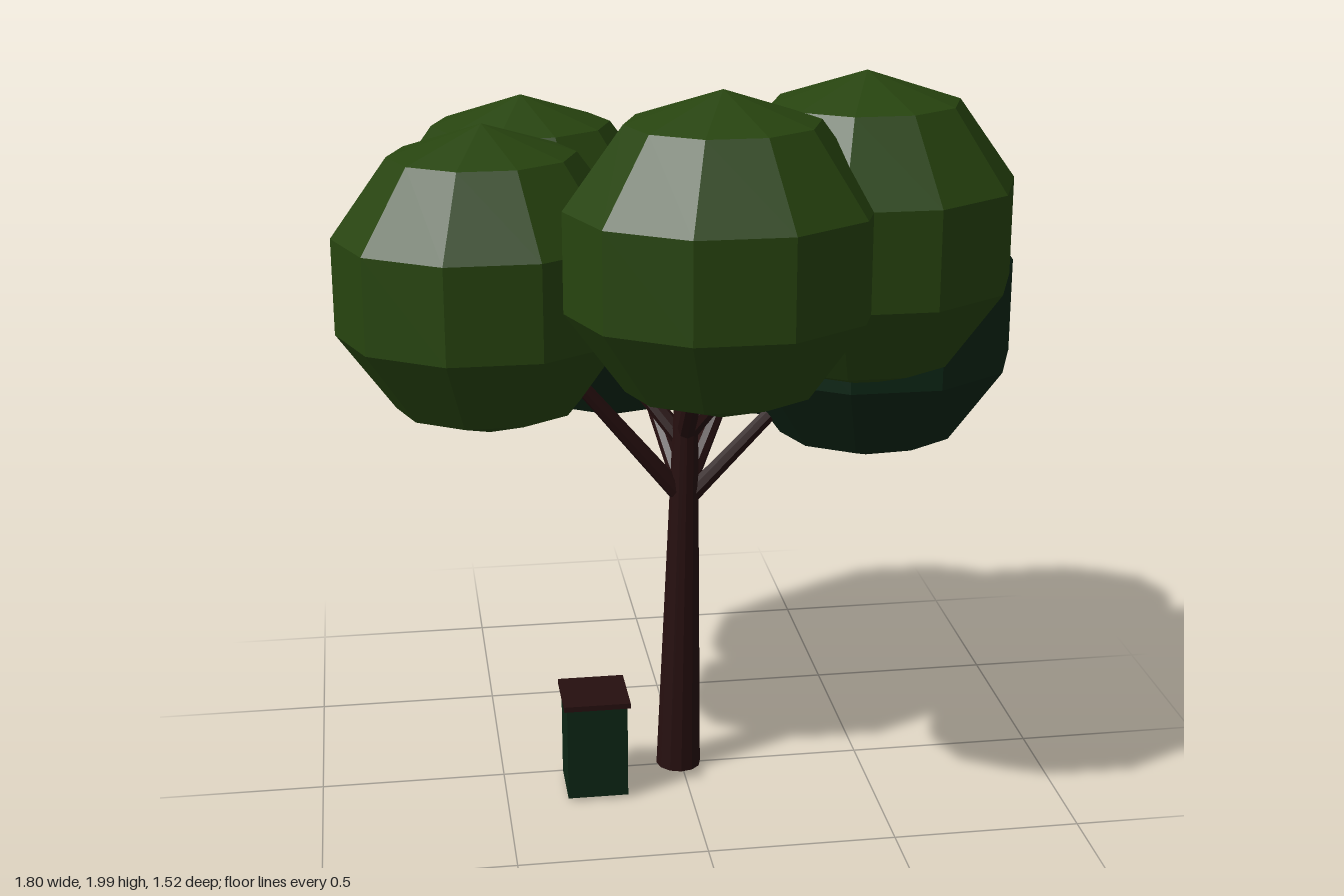
import * as THREE from 'three';

const flat = (color, name) => {
  const m = new THREE.MeshStandardMaterial({ color });
  m.name = name;
  m.flatShading = true;
  return m;
};

export function createModel() {
  const model = new THREE.Group();
  model.name = 'treeWithBin';
  const lightLeaf = flat(0x27440f, 'light leaf green');
  const darkLeaf = flat(0x0c2615, 'dark leaf green');
  const bark = flat(0x260f0f, 'bark brown');

  const add = (name, geometry, material, x = 0, y = 0, z = 0) => {
    const mesh = new THREE.Mesh(geometry, material);
    mesh.name = name;
    mesh.position.set(x, y, z);
    model.add(mesh);
    return mesh;
  };

  // Tapered limb between two points
  const limb = (name, from, to, r0, r1, sides) => {
    const dir = to.clone().sub(from);
    const mid = from.clone().add(to).multiplyScalar(0.5);
    const mesh = add(name, new THREE.CylinderGeometry(r1, r0, dir.length(), sides), bark, mid.x, mid.y, mid.z);
    mesh.quaternion.setFromUnitVectors(new THREE.Vector3(0, 1, 0), dir.normalize());
  };

  // Slightly leaning trunk
  const base = new THREE.Vector3(-0.007, 0.005, -0.005);
  const tip = new THREE.Vector3(0.017, 1.24, 0);
  limb('trunk', base, tip, 0.062, 0.028, 12);

  // Leaf clumps: centre x, y, z, height where the branch leaves the trunk, material
  const clumps = [
    [0.037, 1.59, 0.437, 0.98, lightLeaf],
    [0.43, 1.59, 0.232, 0.98, lightLeaf],
    [-0.514, 1.45, 0.065, 0.8, lightLeaf],
    [-0.387, 1.45, -0.307, 0.96, lightLeaf],
    [-0.14, 1.31, -0.438, 0.82, darkLeaf],
    [0.308, 1.31, -0.362, 0.82, darkLeaf],
    [0.51, 1.31, -0.003, 0.79, darkLeaf],
  ];
  const ball = new THREE.SphereGeometry(1, 10, 5);
  clumps.forEach(([x, y, z, start, material], i) => {
    add('leafClump' + (i + 1), ball, material, x, y, z).scale.set(0.407, 0.408, 0.355);
    // Branch reaching into the clump
    const from = base.clone().lerp(tip, start / 1.24);
    const to = from.clone().lerp(new THREE.Vector3(x, y, z), 0.75);
    limb('branch' + (i + 1), from, to, 0.026, 0.017, 8);
  });

  // Small bin beside the trunk
  add('binBody', new THREE.BoxGeometry(0.164, 0.265, 0.164), darkLeaf, -0.254, 0.1445, 0.098);
  add('binLid', new THREE.BoxGeometry(0.18, 0.015, 0.18), bark, -0.254, 0.2835, 0.098);

  return model;
}
